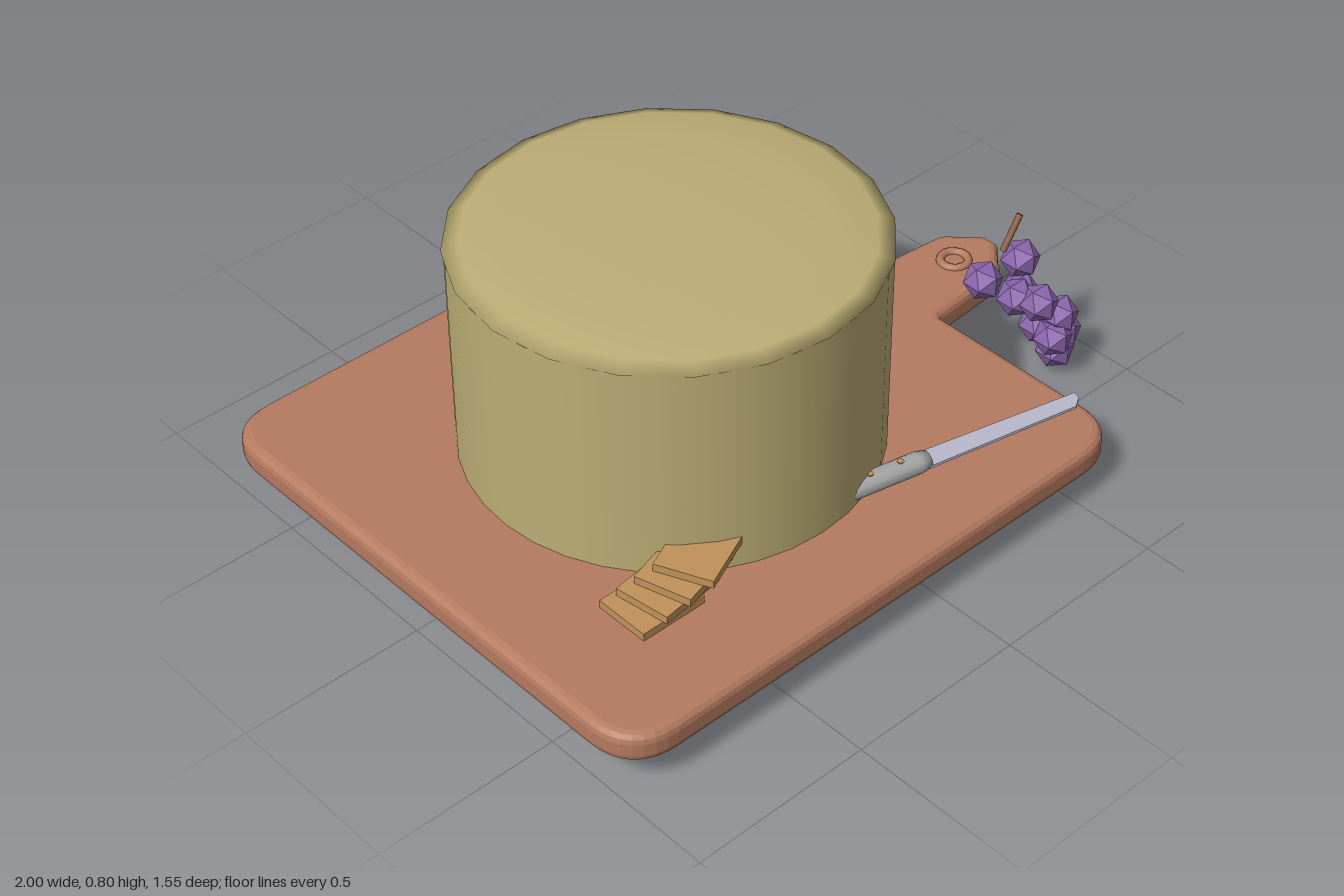
import * as THREE from 'three';

const mat = (name, color, flat = false, side = THREE.FrontSide) => {
  const m = new THREE.MeshStandardMaterial({ color, flatShading: flat, side });
  m.name = name;
  return m;
};

export function createModel() {
  const model = new THREE.Group();
  const wood = mat('wood', 0xb57a60);
  const rind = mat('rind', 0xbbad74);
  const cream = mat('cream', 0xccc49e, true, THREE.DoubleSide);
  const biscuit = mat('biscuit', 0xc0925a);
  const steel = mat('steel', 0xb9b9cc, true);
  const silver = mat('silver', 0xa6a6a6);
  const grapeSkin = mat('grapeSkin', 0x8c66ae, true);
  const stemBrown = mat('stemBrown', 0x8f5c42);

  const add = (name, geo, material, x = 0, y = 0, z = 0, parent = model) => {
    const m = new THREE.Mesh(geo, material);
    m.name = name;
    m.position.set(x, y, z);
    parent.add(m);
    return m;
  };

  // Board with rounded corners, tapering handle and bevelled rim
  const b = 0.025, L = -1 + b, R = 0.65 - b, H = 0.775 - b, r = 0.12;
  const s = new THREE.Shape();
  s.moveTo(L + r, -H);
  s.lineTo(R - r, -H);
  s.quadraticCurveTo(R, -H, R, -H + r);
  s.lineTo(R, -0.14);
  s.quadraticCurveTo(R + 0.01, -0.11, R + 0.05, -0.108);
  s.lineTo(0.89, -0.09);
  s.quadraticCurveTo(0.91, -0.085, 0.925, -0.06);
  s.lineTo(0.974, -0.012);
  s.lineTo(0.974, 0.012);
  s.lineTo(0.925, 0.06);
  s.quadraticCurveTo(0.91, 0.085, 0.89, 0.09);
  s.lineTo(R + 0.05, 0.108);
  s.quadraticCurveTo(R + 0.01, 0.11, R, 0.14);
  s.lineTo(R, H - r);
  s.quadraticCurveTo(R, H, R - r, H);
  s.lineTo(L + r, H);
  s.quadraticCurveTo(L, H, L, H - r);
  s.lineTo(L, -H + r);
  s.quadraticCurveTo(L, -H, L + r, -H);
  const boardGeo = new THREE.ExtrudeGeometry(s, {
    depth: 0.085 - 2 * b, bevelThickness: b, bevelSize: b, bevelSegments: 3, curveSegments: 8,
  });
  boardGeo.rotateX(-Math.PI / 2);
  add('board', boardGeo, wood, 0, 0.08 + b, 0);
  const ring = add('handleRing', new THREE.TorusGeometry(0.038, 0.012, 8, 16), wood, 0.85, 0.165, 0);
  ring.rotation.x = Math.PI / 2;

  // Cheese wheel with a sixth cut out, under a flattened domed lid
  const cheese = new THREE.Group();
  cheese.name = 'cheeseWheel';
  cheese.position.set(-0.175, 0, 0);
  model.add(cheese);
  const deg = Math.PI / 180;
  add('rindWall', new THREE.CylinderGeometry(0.54, 0.54, 0.6, 30, 1, false, 120 * deg, 300 * deg),
    rind, 0, 0.46, 0, cheese);
  const cutGeo = new THREE.PlaneGeometry(0.54, 0.6).translate(0.27, 0, 0);
  for (const side of [-1, 1]) {
    add('cutFace', cutGeo, cream, 0, 0.46, 0, cheese).rotation.y = side * 30 * deg;
  }
  add('cheeseTop', new THREE.SphereGeometry(0.545, 20, 8), rind, 0, 0.76, 0, cheese)
    .scale.y = 0.04 / 0.545;
  for (const [y, z] of [[0.3, -0.055], [0.485, -0.145], [0.67, -0.225]]) {
    add('cheeseHole', new THREE.IcosahedronGeometry(0.018, 0), rind, -z * 1.732, y, z, cheese);
  }

  // Loose wedge: a tilted triangular prism with rind on both ends
  const near = [[0.63, 0.18, -0.24], [0.21, 0.32, -0.09], [0.23, 0, -0.09]];
  const far = near.map(([x, y, z]) => [x - 0.09, y, z - 0.26]);
  const polys = (...tris) => {
    const g = new THREE.BufferGeometry();
    g.setAttribute('position', new THREE.Float32BufferAttribute(tris.flat(2), 3));
    g.computeVertexNormals();
    return g;
  };
  const sides = [];
  for (let i = 0; i < 3; i++) {
    const j = (i + 1) % 3;
    sides.push([near[i], far[i], far[j]], [near[i], far[j], near[j]]);
  }
  add('wedgeSides', polys(...sides), cream);
  add('wedgeEnds', polys(near, [far[0], far[2], far[1]]), rind);

  // Fanned stack of crackers
  for (let i = 0; i < 4; i++) {
    add('cracker', new THREE.BoxGeometry(0.19, 0.022, 0.155), biscuit,
      -0.645 + i * 0.05, 0.177 + i * 0.022, 0.45).rotation.y = i * 8 * deg;
  }

  // Knife lying on the board
  const knife = new THREE.Group();
  knife.name = 'knife';
  knife.position.set(0.18, 0.19, 0.543);
  knife.rotation.y = -11.5 * deg;
  model.add(knife);
  const profile = [[0, -0.275], [0.018, -0.27], [0.03, -0.22], [0.031, -0.03], [0.026, 0], [0, 0]]
    .map(([x, y]) => new THREE.Vector2(x, y));
  add('knifeHandle', new THREE.LatheGeometry(profile, 10).rotateZ(-Math.PI / 2), silver, 0, 0.002, 0, knife)
    .scale.y = 0.88;
  for (const x of [-0.08, -0.17]) {
    add('rivet', new THREE.CylinderGeometry(0.009, 0.009, 0.06, 8), biscuit, x, 0.001, 0, knife);
  }
  const blade = new THREE.Shape();
  blade.moveTo(-0.01, -0.028);
  blade.lineTo(-0.01, 0.032);
  blade.lineTo(0.465, 0.018);
  blade.lineTo(0.46, -0.005);
  blade.lineTo(0.435, -0.028);
  const bladeGeo = new THREE.ExtrudeGeometry(blade, { depth: 0.008, bevelEnabled: false });
  add('knifeBlade', bladeGeo.rotateX(-Math.PI / 2), steel, 0, -0.006, 0, knife);

  // Bunch of faceted grapes hanging beside the handle
  const grapes = [
    [0.695, 0.31, 0.24], [0.79, 0.355, 0.28], [0.77, 0.27, 0.37], [0.8, 0.24, 0.28],
    [0.855, 0.19, 0.37], [0.82, 0.14, 0.385], [0.89, 0.115, 0.355], [0.85, 0.078, 0.37],
    [0.84, 0.135, 0.315], [0.75, 0.265, 0.31],
  ];
  const grapeGeo = new THREE.IcosahedronGeometry(0.054, 0);
  for (const p of grapes) add('grape', grapeGeo, grapeSkin, ...p);
  const stem = add('grapeStem', new THREE.CylinderGeometry(0.01, 0.01, 0.105, 6), stemBrown, 0.747, 0.457, 0.28);
  stem.rotation.z = -33 * deg;

  return model;
}
